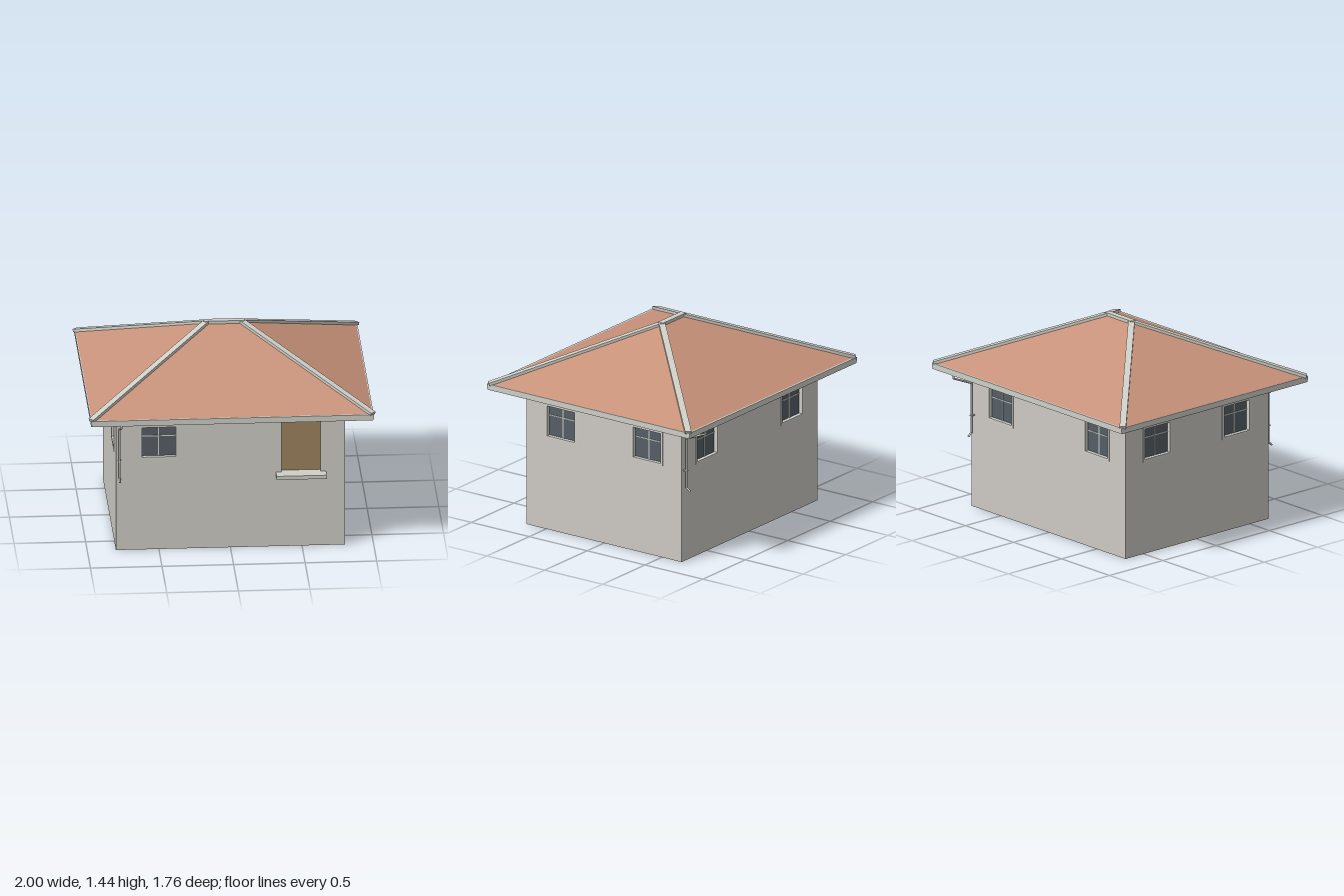
import * as THREE from 'three';

const mat = (name, color, side = THREE.FrontSide) => {
  const m = new THREE.MeshStandardMaterial({ color, side });
  m.name = name;
  return m;
};

export function createModel() {
  const house = new THREE.Group();
  house.name = 'house';
  const wallMat = mat('wall plaster', 0xcdcac4, THREE.DoubleSide);
  const trim = mat('pale trim', 0xcfcfc8);
  const soffitMat = mat('soffit grey', 0xb4b4b0, THREE.DoubleSide);
  const tile = mat('terracotta tile', 0xc8927a);
  const glassMat = mat('dark glass', 0x555e66);
  const wood = mat('door wood', 0x9c815c);

  const add = (parent, name, geometry, material, x = 0, y = 0, z = 0) => {
    const m = new THREE.Mesh(geometry, material);
    m.name = name;
    m.position.set(x, y, z);
    parent.add(m);
    return m;
  };
  const box = (parent, name, material, w, h, d, x, y, z) =>
    add(parent, name, new THREE.BoxGeometry(w, h, d), material, x, y, z);
  const rect = (Kind, x, y, w, h) => {
    const p = new Kind();
    p.moveTo(x - w / 2, y - h / 2);
    p.lineTo(x + w / 2, y - h / 2);
    p.lineTo(x + w / 2, y + h / 2);
    p.lineTo(x - w / 2, y + h / 2);
    p.closePath();
    return p;
  };

  // Recessed four-pane window; local z = 0 is the outer wall face
  const WW = 0.27, WH = 0.255, WY = 0.802;
  function addWindow(parent, x) {
    const g = new THREE.Group();
    g.name = 'window';
    g.position.set(x, WY, 0);
    const frame = rect(THREE.Shape, 0, 0, WW, WH);
    frame.holes.push(rect(THREE.Path, 0, 0, WW - 0.034, WH - 0.034));
    add(g, 'windowFrame', new THREE.ExtrudeGeometry(frame, { depth: 0.052, bevelEnabled: false }),
      trim, 0, 0, -0.048);
    box(g, 'windowGlass', glassMat, WW - 0.034, WH - 0.034, 0.006, 0, 0, -0.028);
    box(g, 'windowMullion', trim, 0.007, WH - 0.034, 0.014, 0, 0, -0.028);
    box(g, 'windowTransom', trim, WW - 0.034, 0.007, 0.014, 0, 0.038, -0.028);
    parent.add(g);
  }

  // Wall sheet with openings, turned to its side of the house
  const WALL_H = 1.085, HX = 0.8, HZ = 0.67;
  const DOOR = { x: 0.493, y: 0.743, w: 0.275, h: 0.376 };
  function addWall(name, width, distance, angle, windows, hasDoor) {
    const g = new THREE.Group();
    g.name = name;
    const shape = rect(THREE.Shape, 0, WALL_H / 2, width, WALL_H);
    windows.forEach(x => shape.holes.push(rect(THREE.Path, x, WY, WW, WH)));
    if (hasDoor) shape.holes.push(rect(THREE.Path, DOOR.x, DOOR.y, DOOR.w, DOOR.h));
    add(g, name + 'Sheet', new THREE.ShapeGeometry(shape), wallMat, 0, 0, distance);
    const openings = new THREE.Group();
    openings.name = name + 'Openings';
    openings.position.z = distance;
    windows.forEach(x => addWindow(openings, x));
    if (hasDoor) {
      box(openings, 'door', wood, DOOR.w, DOOR.h, 0.015, DOOR.x, DOOR.y, -0.04);
      for (const s of [-1, 1])
        box(openings, 'doorJamb', trim, 0.004, DOOR.h, 0.05, DOOR.x + s * (DOOR.w / 2 + 0.002), DOOR.y, -0.026);
      box(openings, 'doorHead', trim, DOOR.w, 0.004, 0.05, DOOR.x, DOOR.y + DOOR.h / 2 + 0.002, -0.026);
      box(openings, 'doorStep', trim, 0.35, 0.027, 0.13, DOOR.x, 0.5415, 0.018);
    }
    g.add(openings);
    g.rotation.y = angle;
    house.add(g);
  }
  addWall('frontWall', HX * 2, HZ, 0, [-0.5], true);
  addWall('backWall', HX * 2, HZ, Math.PI, [-0.5, 0.5], false);
  addWall('leftWall', HZ * 2, HX, Math.PI / 2, [-0.372, 0.372], false);
  addWall('rightWall', HZ * 2, HX, -Math.PI / 2, [-0.372, 0.372], false);

  // Hipped roof: a front trapezoid and side triangle, repeated by a half turn
  const EX = 0.98, EZ = 0.86, R = 0.125, EAVE = 1.048, RIDGE = 1.428;
  function hipSurface(drop) {
    const e = EAVE - drop, r = RIDGE - drop, pos = [];
    for (const s of [1, -1]) {
      const a = [-EX * s, e, EZ * s], b = [EX * s, e, EZ * s], c = [R * s, r, 0], d = [-R * s, r, 0];
      pos.push(...a, ...b, ...c, ...a, ...c, ...d, ...b, EX * s, e, -EZ * s, ...c);
    }
    const geo = new THREE.BufferGeometry();
    geo.setAttribute('position', new THREE.Float32BufferAttribute(pos, 3));
    geo.computeVertexNormals();
    return geo;
  }
  add(house, 'roofTiles', hipSurface(0), tile);
  add(house, 'roofUnderside', hipSurface(0.038), soffitMat);

  // Hip and ridge caps
  function cap(name, a, b) {
    const from = new THREE.Vector3(...a), to = new THREE.Vector3(...b);
    const m = add(house, name, new THREE.BoxGeometry(0.045, 0.022, from.distanceTo(to)), trim);
    m.position.copy(from).lerp(to, 0.5);
    m.lookAt(to);
  }
  for (const sx of [-1, 1]) for (const sz of [-1, 1])
    cap('hipCap', [sx * 0.984, 1.05, sz * 0.862], [sx * 0.12, 1.43, 0]);
  cap('ridgeCap', [-0.135, 1.43, 0], [0.135, 1.43, 0]);

  // Eaves boards with a lower gutter lip
  for (const s of [-1, 1]) {
    box(house, 'eavesGutter', trim, 1.97, 0.028, 0.018, 0, 1.034, s * 0.866);
    box(house, 'gutterLip', trim, 1.964, 0.015, 0.015, 0, 1.0125, s * 0.865);
    box(house, 'sideFascia', trim, 0.014, 0.028, 1.75, s * 0.981, 1.034, 0);
    box(house, 'sideFasciaLip', trim, 0.011, 0.015, 1.74, s * 0.98, 1.0125, 0);
  }

  // Downpipes at opposite corners, with outlet and wall bracket
  for (const s of [1, -1]) {
    const g = new THREE.Group();
    g.name = 'downpipe';
    const path = new THREE.CurvePath();
    const pts = [[1.015, 0.865], [0.982, 0.862], [0.912, 0.695], [0.55, 0.695], [0.528, 0.722]]
      .map(([y, z]) => new THREE.Vector3(-0.775, y, z));
    for (let i = 1; i < pts.length; i++) path.add(new THREE.LineCurve3(pts[i - 1], pts[i]));
    for (const c of path.curves) add(g, 'pipeSection', new THREE.TubeGeometry(c, 1, 0.007, 8), trim);
    for (const p of pts) add(g, 'pipeJoint', new THREE.SphereGeometry(0.0071, 8, 6), trim, p.x, p.y, p.z);
    box(g, 'pipeBracket', trim, 0.018, 0.008, 0.036, -0.775, 0.675, 0.687);
    g.rotation.y = s > 0 ? 0 : Math.PI;
    house.add(g);
  }
  return house;
}
